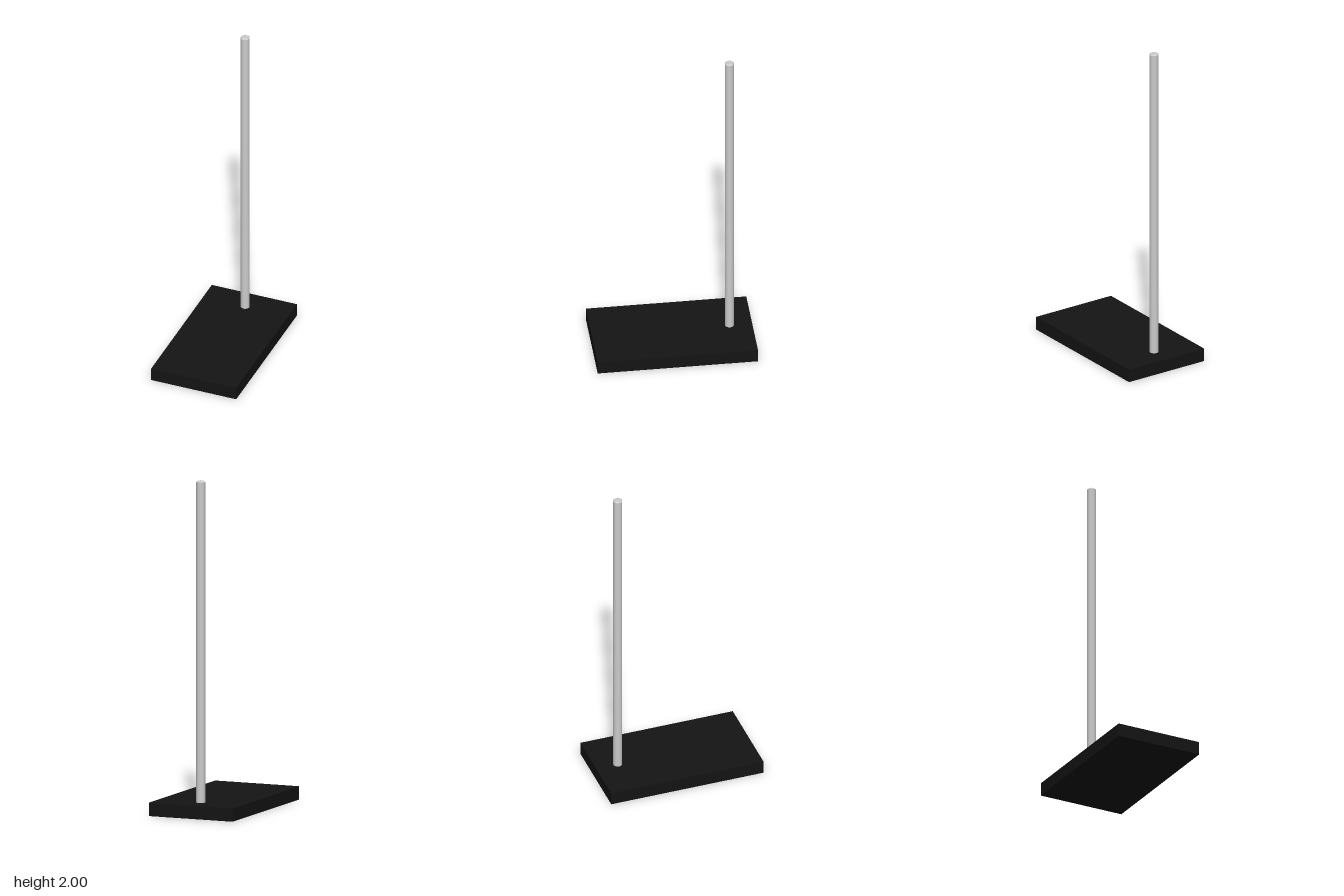
import * as THREE from 'three';

export function createModel() {
  const group = new THREE.Group();

  // Heavy rectangular base plate
  const baseHeight = 0.08;
  const base = new THREE.Mesh(
    new THREE.BoxGeometry(0.542, baseHeight, 0.954),
    new THREE.MeshStandardMaterial({ color: 0x141414 })
  );
  base.name = 'base';
  base.position.y = baseHeight / 2;
  group.add(base);

  // Upright rod with a small chamfer at its top; repeated points keep the edges sharp
  const radius = 0.027, chamfer = 0.007, top = 2, foot = 0.04;
  const profile = [
    [0, foot], [radius, foot], [radius, foot],
    [radius, top - chamfer], [radius, top - chamfer],
    [radius - chamfer, top], [radius - chamfer, top], [0, top],
  ].map(([r, y]) => new THREE.Vector2(r, y));
  const rod = new THREE.Mesh(
    new THREE.LatheGeometry(profile, 32),
    new THREE.MeshStandardMaterial({ color: 0xcccccc })
  );
  rod.name = 'rod';
  rod.position.set(-0.004, 0, -0.342);
  group.add(rod);

  return group;
}
